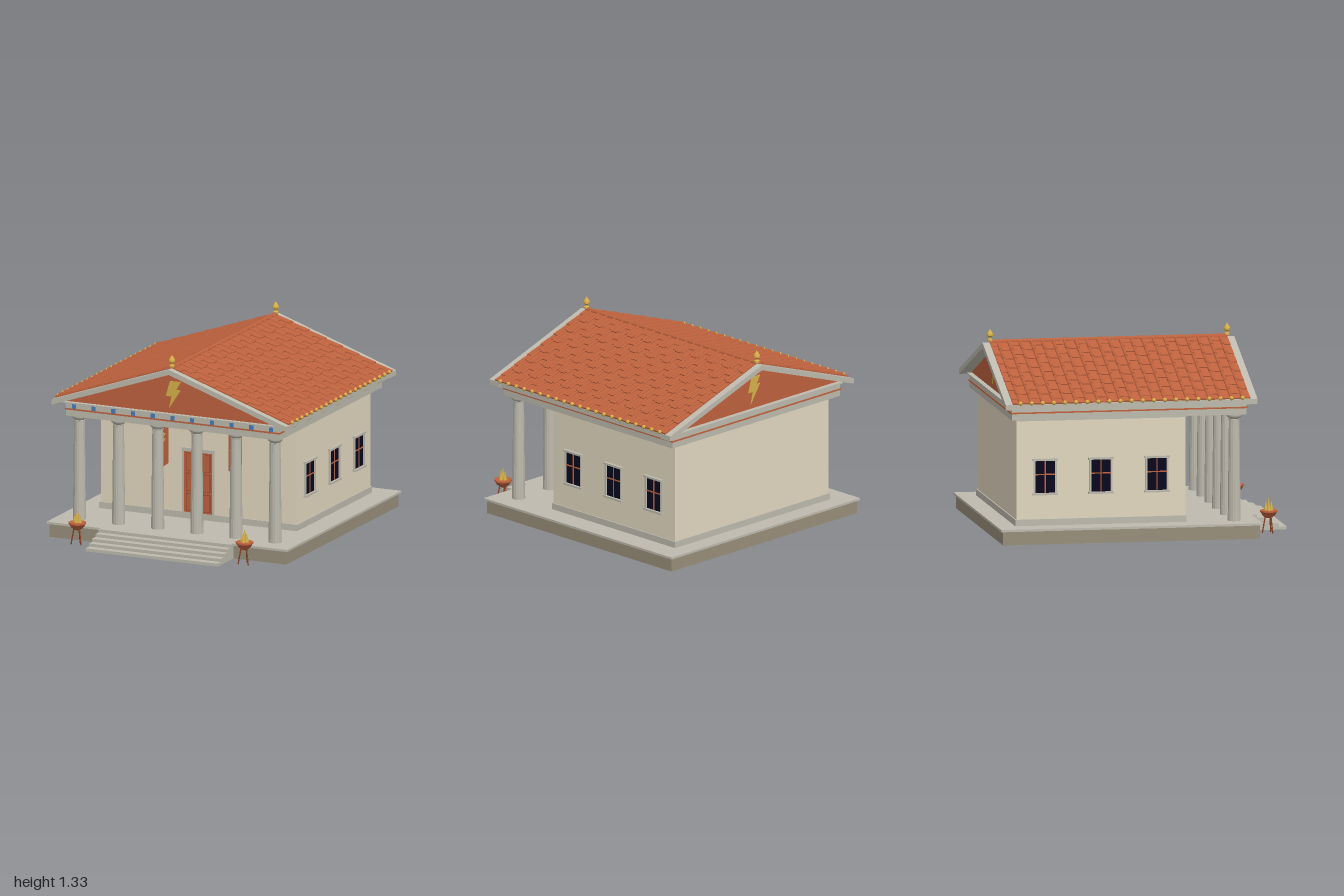
import * as THREE from 'three';
import { mergeGeometries, toCreasedNormals } from 'three/addons/utils/BufferGeometryUtils.js';

const mat = (name, color) => {
  const m = new THREE.MeshStandardMaterial({ color });
  m.name = name;
  return m;
};
const stone = mat('stone', 0xbebaae), wall = mat('plaster', 0xe2d8c0), base = mat('foundation', 0x988e7a);
const terracotta = mat('terracotta', 0xbe623e), gold = mat('gold', 0xd8b04a), blue = mat('blue', 0x447cbc);
const glass = mat('dark glass', 0x08081e), bronze = mat('bronze', 0x8c4428);

const SLOPE = 0.345, ANGLE = Math.atan(SLOPE), ROOF_Z = -0.115, ROOF_LEN = 1.603, HALL = 0.72;

function add(parent, name, geo, material, x = 0, y = 0, z = 0) {
  const m = new THREE.Mesh(geo, material);
  m.name = name;
  m.position.set(x, y, z);
  parent.add(m);
  return m;
}
// Box given by its limits on each axis
function slab(parent, name, material, x0, x1, y0, y1, z0, z1) {
  return add(parent, name, new THREE.BoxGeometry(x1 - x0, y1 - y0, z1 - z0), material,
    (x0 + x1) / 2, (y0 + y1) / 2, (z0 + z1) / 2);
}
function group(parent, name, x = 0, y = 0, z = 0) {
  const g = new THREE.Group();
  g.name = name;
  g.position.set(x, y, z);
  parent.add(g);
  return g;
}
const shapeOf = pts => new THREE.Shape(pts.map(p => new THREE.Vector2(...p)));
const extrude = (shape, depth) => new THREE.ExtrudeGeometry(shape, { depth, bevelEnabled: false });
const lathe = (pts, n = 20) => toCreasedNormals(
  new THREE.LatheGeometry(pts.map(p => new THREE.Vector2(...p)), n), 0.6);

const boltGeo = s => extrude(shapeOf([[-0.026, 0.095], [0.054, 0.095], [0.021, 0.038], [0.054, 0.038],
  [-0.034, -0.095], [-0.014, -0.01], [-0.056, -0.01]].map(([x, y]) => [x * s, y * s])), 0.006);

// Fluted, tapering shaft with a flared capital
function columnGeometries() {
  const h = 0.685;
  let shaft = new THREE.CylinderGeometry(0.036, 0.044, h, 32, 1);
  const p = shaft.attributes.position;
  for (let i = 0; i < p.count; i++) {
    const a = Math.atan2(p.getZ(i), p.getX(i));
    const k = 1 - 0.03 * (1 - Math.cos(a * 16)) / 2;
    p.setX(i, p.getX(i) * k);
    p.setZ(i, p.getZ(i) * k);
  }
  shaft = shaft.toNonIndexed();
  shaft.computeVertexNormals();
  shaft.translate(0, 0.105 + h / 2, 0);
  const capital = lathe([[0, 0.78], [0.037, 0.78], [0.038, 0.788], [0.036, 0.79], [0.042, 0.797],
    [0.05, 0.806], [0.052, 0.812], [0.052, 0.824], [0, 0.824]], 24);
  return [shaft, capital];
}

function buildWindow(parent, side, z) {
  const g = group(parent, 'window', side * HALL, 0.432, z);
  g.rotation.y = side * Math.PI / 2;
  slab(g, 'windowPane', glass, -0.067, 0.067, -0.113, 0.113, 0, 0.006);
  slab(g, 'mullion', terracotta, -0.004, 0.004, -0.113, 0.113, 0.004, 0.01);
  slab(g, 'transom', terracotta, -0.067, 0.067, 0.012, 0.02, 0.004, 0.01);
  for (const s of [-1, 1]) {
    slab(g, 'windowJamb', stone, s * 0.072 - 0.006, s * 0.072 + 0.006, -0.113, 0.113, 0, 0.014);
    slab(g, s < 0 ? 'windowSill' : 'windowLintel', stone, -0.085, 0.085, s * 0.115 - 0.007, s * 0.115 + 0.007, 0, 0.022);
  }
}

function buildBanner(parent, x) {
  const g = group(parent, 'banner', x, 0.75, 0.275);
  add(g, 'bannerCloth', extrude(shapeOf([[-0.049, 0], [-0.049, -0.284], [0, -0.32], [0.049, -0.284], [0.049, 0]]), 0.006), terracotta);
  slab(g, 'bannerTrim', gold, -0.049, 0.049, -0.018, -0.006, 0.004, 0.008);
  add(g, 'bannerRod', new THREE.CylinderGeometry(0.004, 0.004, 0.126, 8).rotateZ(Math.PI / 2), bronze, 0, 0, 0.004);
  add(g, 'bannerBolt', boltGeo(0.66), gold, 0, -0.14, 0.002);
}

function buildBrazier(parent, x) {
  const g = group(parent, 'brazier', x, 0, 0.855);
  add(g, 'brazierBowl', lathe([[0, 0.098], [0.022, 0.102], [0.042, 0.118], [0.053, 0.138], [0.059, 0.142],
    [0.059, 0.152], [0, 0.152]]), terracotta);
  for (let i = 0; i < 3; i++) {
    const a = i * Math.PI * 2 / 3 + Math.PI / 6;
    const leg = new THREE.LineCurve3(new THREE.Vector3(Math.cos(a) * 0.022, 0.115, Math.sin(a) * 0.022),
      new THREE.Vector3(Math.cos(a) * 0.043, 0, Math.sin(a) * 0.043));
    add(g, 'brazierLeg', new THREE.TubeGeometry(leg, 1, 0.0045, 6), bronze);
  }
  for (let i = 0; i < 5; i++) {
    const a = i * Math.PI / 2, r = i === 4 ? 0 : 0.018, h = i === 4 ? 0.09 : 0.055 + 0.012 * (i % 2);
    add(g, 'flame', new THREE.ConeGeometry(0.015, h, 6), gold, Math.cos(a) * r, 0.15 + h / 2, Math.sin(a) * r);
  }
}

// One roof slope: local x runs from the ridge to the eave
function buildSlope(parent, side) {
  const turn = group(parent, 'roofSlope', 0, 1.232, ROOF_Z);
  turn.rotation.y = side < 0 ? Math.PI : 0;
  const g = group(turn, 'tiles');
  g.rotation.z = -ANGLE;
  const len = 0.855 / Math.cos(ANGLE), n = 7, step = len / n, pans = [], covers = [], tips = [];
  // Columns of flat tiles between the ribs, every other one shifted by half a tile
  for (let j = -10; j <= 11; j++) {
    const z0 = Math.max((j - 1) * 0.075, -ROOF_LEN / 2), z1 = Math.min(j * 0.075, ROOF_LEN / 2);
    for (let i = 0; i <= n; i++) {
      const shift = j % 2 ? 0.5 : 0;
      const x0 = Math.max((i - shift) * step, 0), x1 = Math.min((i + 1 - shift) * step, len);
      if (x1 - x0 < 0.01) continue;
      pans.push(new THREE.BoxGeometry(x1 - x0 + 0.006, 0.01, z1 - z0).rotateZ(0.05)
        .translate((x0 + x1) / 2, 0.006, (z0 + z1) / 2));
    }
  }
  for (let j = -10; j <= 10; j++) {
    for (let i = 0; i < n; i++) {
      covers.push(new THREE.CylinderGeometry(0.0125, 0.0105, step, 8).rotateZ(-Math.PI / 2)
        .rotateZ(0.02).translate((i + 0.5) * step, 0.01, j * 0.075));
    }
    tips.push(new THREE.SphereGeometry(0.0145, 10, 8).translate(len, 0.01, j * 0.075));
  }
  add(g, 'panTiles', mergeGeometries(pans), terracotta);
  add(g, 'coverTiles', mergeGeometries(covers), terracotta);
  add(g, 'eaveOrnaments', mergeGeometries(tips), gold);
}

// Chevron following both roof slopes between two heights at the ridge
function chevron(halfWidth, low, high, depth) {
  const d = halfWidth * SLOPE;
  return extrude(shapeOf([[-halfWidth, low - d], [0, low], [halfWidth, low - d],
    [halfWidth, high - d], [0, high], [-halfWidth, high - d]]), depth);
}

export function createModel() {
  const model = new THREE.Group();
  model.name = 'temple';

  // Platform and steps
  slab(model, 'foundation', base, -0.87, 0.87, 0, 0.09, -0.985, 0.75);
  slab(model, 'floor', stone, -0.885, 0.885, 0.09, 0.105, -1, 0.765);
  for (let i = 0; i < 5; i++) {
    slab(model, 'step', stone, -0.485, 0.485, i * 0.021, (i + 1) * 0.021, 0.74, 1 - i * 0.05);
  }

  // Inner hall
  slab(model, 'hallWalls', wall, -HALL, HALL, 0.105, 0.82, -0.868, 0.273);
  slab(model, 'hallPlinth', stone, -HALL - 0.008, HALL + 0.008, 0.105, 0.148, -0.876, 0.281);
  slab(model, 'hallTrim', stone, -HALL - 0.008, HALL + 0.008, 0.808, 0.826, -0.876, 0.281);
  for (const s of [-1, 1]) for (const z of [0.08, -0.298, -0.675]) buildWindow(model, s, z);

  // Door with raised panels
  const door = group(model, 'door', 0, 0, 0.273);
  slab(door, 'doorLeaves', terracotta, -0.105, 0.105, 0.145, 0.57, 0, 0.006);
  slab(door, 'doorLintel', stone, -0.115, 0.115, 0.568, 0.592, 0, 0.022);
  slab(door, 'doorSeam', bronze, -0.002, 0.002, 0.145, 0.568, 0.004, 0.008);
  for (const s of [-1, 1]) {
    slab(door, 'doorJamb', stone, s * 0.11 - 0.005, s * 0.11 + 0.005, 0.145, 0.568, 0, 0.014);
    for (let r = 0; r < 3; r++) {
      const y = 0.158 + r * 0.138;
      slab(door, 'panelEdge', bronze, s * 0.053 - 0.036, s * 0.053 + 0.036, y, y + 0.122, 0.004, 0.009);
      slab(door, 'doorPanel', terracotta, s * 0.053 - 0.032, s * 0.053 + 0.032, y + 0.004, y + 0.118, 0.005, 0.013);
    }
    buildBanner(model, s * 0.272);
    buildBrazier(model, s * 0.615);
  }

  // Colonnade
  const [shaft, capital] = columnGeometries();
  for (let i = 0; i < 6; i++) {
    const x = (i - 2.5) * 0.288;
    add(model, 'columnShaft', shaft, stone, x, 0, 0.603);
    add(model, 'columnCapital', capital, stone, x, 0, 0.603);
  }

  // Entablature: open beam ring over the porch, red band, frieze
  const ring = shapeOf([[-0.785, -0.675], [0.785, -0.675], [0.785, 0.91], [-0.785, 0.91]]);
  ring.holes.push(shapeOf([[-0.68, -0.545], [-0.68, -0.27], [0.68, -0.27], [0.68, -0.545]]));
  add(model, 'architrave', extrude(ring, 0.045).rotateX(-Math.PI / 2), stone, 0, 0.823, 0);
  slab(model, 'redBand', terracotta, -0.79, 0.79, 0.866, 0.876, -0.915, 0.68);
  slab(model, 'frieze', stone, -0.785, 0.785, 0.876, 0.912, -0.91, 0.675);
  slab(model, 'cornice', stone, -0.8, 0.8, 0.91, 0.92, -0.925, 0.69);
  for (let i = -5; i <= 5; i++) {
    slab(model, 'friezeBlock', blue, i * 0.145 - 0.014, i * 0.145 + 0.014, 0.877, 0.908, 0.672, 0.681);
  }

  // Pediments and roof
  add(model, 'pediment', extrude(shapeOf([[-0.84, 0.918], [0.84, 0.918], [0, 1.208]]), 1.55), terracotta, 0, 0, -0.89);
  add(model, 'roofDeck', chevron(0.855, 1.2, 1.232, ROOF_LEN), stone, 0, 0, ROOF_Z - ROOF_LEN / 2);
  for (const z of [0.64, -0.965]) add(model, 'rakingCornice', chevron(0.862, 1.2, 1.236, 0.095), stone, 0, 0, z);
  add(model, 'frontBolt', boltGeo(1), gold, 0, 1.045, 0.658);
  add(model, 'backBolt', boltGeo(1), gold, 0, 1.045, -0.888).rotation.y = Math.PI;
  for (const s of [-1, 1]) buildSlope(model, s);
  add(model, 'ridgeTile', new THREE.CylinderGeometry(0.017, 0.017, ROOF_LEN, 10).rotateX(Math.PI / 2), terracotta, 0, 1.238, ROOF_Z);

  // Ridge finials
  const finial = lathe([[0, 0], [0.018, 0], [0.018, 0.012], [0.009, 0.018], [0.01, 0.026], [0.021, 0.036],
    [0.022, 0.048], [0.014, 0.062], [0, 0.082]], 14);
  for (const z of [0.686, -0.915]) add(model, 'finial', finial, gold, 0, 1.245, z);
  return model;
}
